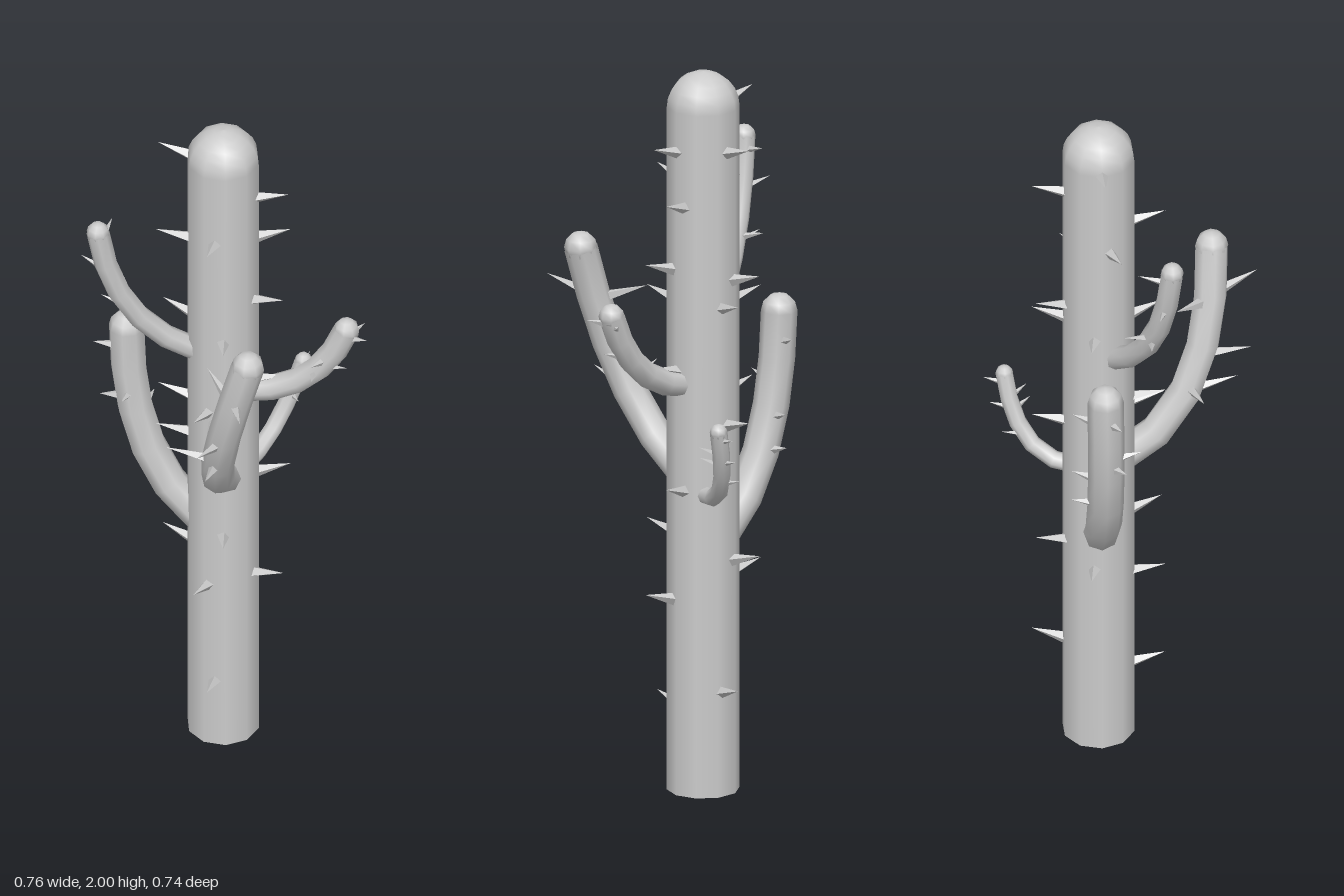
import * as THREE from 'three';

const skin = new THREE.MeshStandardMaterial({ color: 0xcccccc, side: THREE.DoubleSide });
const thorn = new THREE.MeshStandardMaterial({ color: 0xcccccc, flatShading: true });
const trunkRadius = 0.098;
const trunkCentre = new THREE.Vector3(-0.02, 0, -0.075);

function add(parent, name, geometry, material) {
  const mesh = new THREE.Mesh(geometry, material);
  mesh.name = name;
  parent.add(mesh);
  return mesh;
}

function addGroup(parent, name) {
  const group = new THREE.Group();
  group.name = name;
  parent.add(group);
  return group;
}

// Thin four-sided cone, pointing outwards at an angle (degrees from +x towards +z) and slightly up
function addSpike(parent, base, degrees, length, radius) {
  const a = THREE.MathUtils.degToRad(degrees);
  const dir = new THREE.Vector3(Math.cos(a), 0.28, Math.sin(a));
  const height = length * dir.length();
  const cone = new THREE.ConeGeometry(radius, height, 4).translate(0, height / 2, 0);
  const spike = add(parent, 'spike', cone, thorn);
  spike.position.copy(base);
  spike.quaternion.setFromUnitVectors(new THREE.Vector3(0, 1, 0), dir.normalize());
}

// Ten-sided trunk with a domed top and an open bottom
function addTrunk(parent) {
  const profile = [new THREE.Vector2(trunkRadius, 0)];
  for (let i = 0; i <= 6; i++) {
    const a = (i / 6) * Math.PI / 2;
    profile.push(new THREE.Vector2(trunkRadius * Math.cos(a), 2 - trunkRadius * (1 - Math.sin(a))));
  }
  add(parent, 'trunk', new THREE.LatheGeometry(profile, 10, Math.PI / 2), skin).position.copy(trunkCentre);
}

// Spikes in four columns, each fanned a little to either side in turn
function addTrunkSpikes(parent) {
  const group = addGroup(parent, 'trunkSpikes');
  const columns = [
    { angle: 0, heights: [1.79, 1.64, 1.46, 1.18, 0.85, 0.54] },
    { angle: 90, heights: [1.68, 1.35, 1.11, 1.08, 0.7, 0.53, 0.21] },
    { angle: 180, heights: [1.9, 1.64, 1.35, 1.09, 0.985, 0.59] },
    { angle: 270, heights: [1.79, 1.43, 1.36, 1.03, 0.65, 0.29] },
  ];
  const fan = [0, -14, 12];
  for (const { angle, heights } of columns) {
    heights.forEach((y, i) => {
      const degrees = angle + fan[i % 3];
      const a = THREE.MathUtils.degToRad(degrees);
      const base = new THREE.Vector3(Math.cos(a), 0, Math.sin(a)).multiplyScalar(0.085).add(trunkCentre);
      base.y = y;
      addSpike(group, base, degrees, 0.095, 0.018);
    });
  }
}

// Arm bent from base through an elbow to a rounded tip; spikes are [position along arm, angle]
function addArm(parent, name, radius, points, spikeLength, spikes) {
  const arm = addGroup(parent, name);
  const curve = new THREE.QuadraticBezierCurve3(...points.map((p) => new THREE.Vector3(...p)));
  add(arm, 'armStem', new THREE.TubeGeometry(curve, 5, radius, 8), skin);
  add(arm, 'armTip', new THREE.SphereGeometry(radius, 8, 6), skin).position.copy(curve.v2);
  for (const [t, degrees] of spikes) {
    addSpike(arm, curve.getPointAt(t), degrees, spikeLength, radius * 0.45);
  }
}

export function createModel() {
  const cactus = new THREE.Group();
  cactus.name = 'cactus';
  addTrunk(cactus);
  addTrunkSpikes(cactus);

  addArm(cactus, 'lowerRightArm', 0.049,
    [[-0.08, 0.69, -0.075], [-0.285, 0.85, -0.077], [-0.288, 1.28, -0.085]],
    0.093, [[0.9, 158], [0.65, 150], [0.87, -70], [0.55, -75], [0.68, 93], [0.4, -95]]);

  addArm(cactus, 'upperRightArm', 0.031,
    [[-0.08, 1.27, -0.045], [-0.289, 1.404, 0.0675], [-0.323, 1.722, 0.09]],
    0.087, [[0.93, -82], [0.74, 196], [0.47, 186], [0.5, -110]]);

  addArm(cactus, 'frontArm', 0.045,
    [[0, 0.87, -0.03], [-0.004, 1.011, 0.2425], [0.128, 1.468, 0.245]],
    0.14, [[0.8, 70], [0.56, 105], [0.4, 90], [0.42, 168], [0.78, 226]]);

  addArm(cactus, 'leftArm', 0.035,
    [[0.04, 1.14, -0.075], [0.241, 1.167, -0.073], [0.318, 1.386, -0.08]],
    0.08, [[0.93, 21], [0.9, -50], [0.7, 110], [0.56, 83], [0.62, 16]]);

  addArm(cactus, 'backArm', 0.024,
    [[0.025, 0.84, -0.12], [0.0765, 0.8315, -0.285], [0.142, 1.077, -0.31]],
    0.062, [[0.92, -80], [0.72, -82], [0.8, 55], [0.7, 56], [0.5, -100]]);

  return cactus;
}
